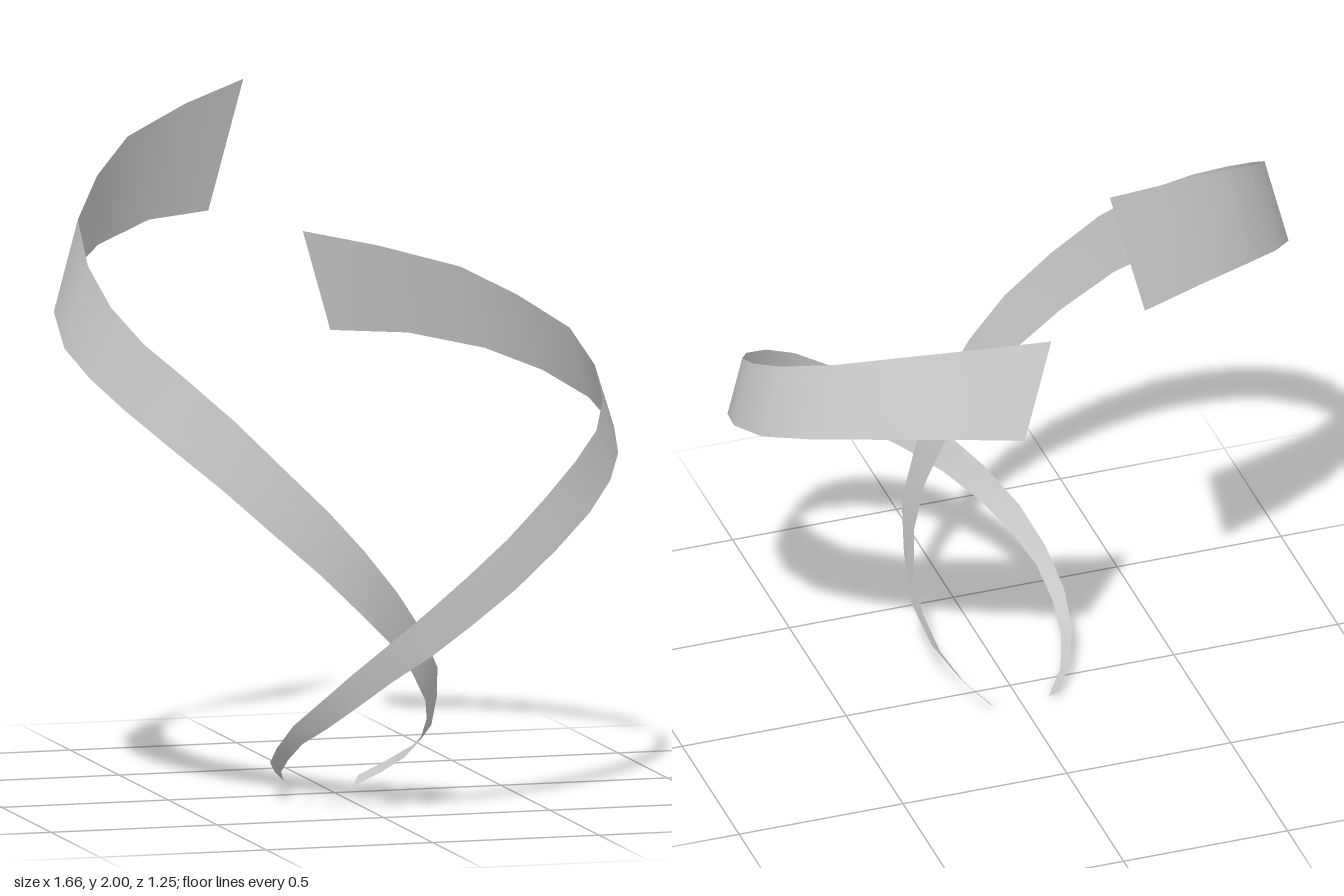
import * as THREE from 'three';

// Cross-sections of the ribbon from flared top to narrow foot:
// upper edge x, y, z, then lower edge x, y, z
const sections = [
  [-0.10, 2.00, -0.59, -0.195, 1.615, -0.625],
  [-0.30, 1.95, -0.50, -0.40, 1.61, -0.535],
  [-0.51, 1.88, -0.38, -0.59, 1.565, -0.405],
  [-0.64, 1.79, -0.25, -0.72, 1.50, -0.27],
  [-0.745, 1.69, -0.09, -0.81, 1.42, -0.115],
  [-0.765, 1.58, 0.08, -0.83, 1.34, 0.06],
  [-0.74, 1.48, 0.23, -0.795, 1.27, 0.205],
  [-0.68, 1.39, 0.355, -0.73, 1.195, 0.33],
  [-0.58, 1.295, 0.46, -0.63, 1.10, 0.445],
  [-0.46, 1.18, 0.545, -0.50, 0.985, 0.535],
  [-0.33, 1.045, 0.60, -0.36, 0.855, 0.59],
  [-0.20, 0.915, 0.625, -0.22, 0.73, 0.61],
  [-0.09, 0.795, 0.615, -0.10, 0.615, 0.595],
  [0.02, 0.665, 0.575, 0.00, 0.52, 0.55],
  [0.11, 0.545, 0.51, 0.09, 0.415, 0.49],
  [0.185, 0.42, 0.42, 0.155, 0.32, 0.40],
  [0.22, 0.32, 0.30, 0.19, 0.25, 0.295],
  [0.235, 0.215, 0.19, 0.20, 0.17, 0.19],
  [0.215, 0.14, 0.07, 0.185, 0.105, 0.08],
  [0.165, 0.08, -0.04, 0.145, 0.05, -0.02],
  [0.105, 0.03, -0.115, 0.08, 0.0, -0.095],
];

// Skin the sections into one smooth strip, passing every point through a rule
function ribbon(name, place, material) {
  const positions = [];
  const index = [];
  sections.forEach((s, i) => {
    positions.push(...place(s[0], s[1], s[2]), ...place(s[3], s[4], s[5]));
    if (i > 0) {
      const a = 2 * (i - 1);
      index.push(a, a + 1, a + 2, a + 1, a + 3, a + 2);
    }
  });
  const geometry = new THREE.BufferGeometry();
  geometry.setAttribute('position', new THREE.Float32BufferAttribute(positions, 3));
  geometry.setIndex(index);
  geometry.computeVertexNormals();
  const mesh = new THREE.Mesh(geometry, material);
  mesh.name = name;
  return mesh;
}

export function createModel() {
  const group = new THREE.Group();
  group.name = 'twinRibbons';
  const grey = new THREE.MeshStandardMaterial({ color: 0xcccccc, side: THREE.DoubleSide });
  grey.name = 'light grey';

  // Tall ribbon, and its shorter mirrored partner turned slightly about y
  group.add(ribbon('tallRibbon', (x, y, z) => [x, y, z], grey));
  group.add(ribbon('shortRibbon', (x, y, z) => [-x + 0.03 * z - 0.003, y * 0.774, z + 0.025 * x], grey));
  return group;
}
